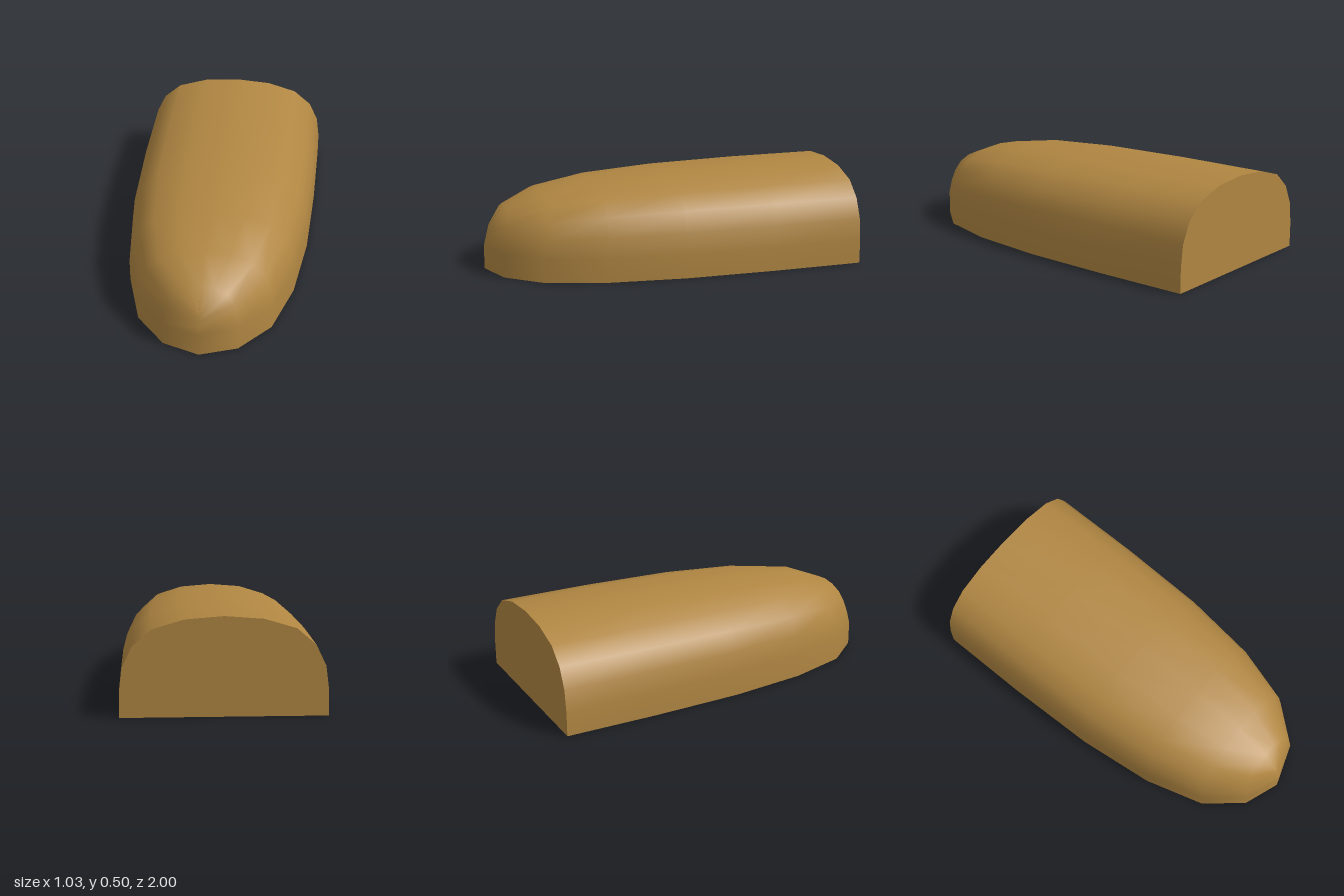
import * as THREE from 'three';
import { mergeVertices } from 'three/addons/utils/BufferGeometryUtils.js';

// Half of the rear cross-section above the floor: [x, y], from side to crown
const half = [[0.515, 0], [0.515, 0.13], [0.5, 0.25], [0.45, 0.355], [0.355, 0.437], [0.195, 0.485], [0, 0.5]];
const section = [...half, ...half.slice(0, -1).reverse().map(([x, y]) => [-x, y])];

// Stations along the length: [z at the side, z at the crown, half width, crown height]
const stations = [
  [-1, -1, 0.515, 0.5], [-0.5, -0.5, 0.515, 0.5], [0, 0, 0.5, 0.492], [0.42, 0.4, 0.45, 0.47],
  [0.74, 0.69, 0.355, 0.425], [0.93, 0.88, 0.195, 0.35], [1, 0.97, 0, 0.25],
];

const WALL = 0.13; // height of the upright wall

function shellGeometry() {
  const positions = [], index = [], n = section.length;
  for (const [zSide, zCrown, width, crown] of stations) {
    for (const [x, y] of section) {
      const rise = Math.max(0, (y - WALL) / (0.5 - WALL));
      positions.push(
        x * width / 0.515,
        y <= WALL ? y : WALL + rise * (crown - WALL),
        zSide + (zCrown - zSide) * rise,
      );
    }
  }
  for (let i = 0; i < stations.length - 1; i++) {
    for (let j = 0; j < n - 1; j++) {
      const a = i * n + j, c = a + n;
      index.push(a, a + 1, c, a + 1, c + 1, c);
    }
  }
  const geometry = new THREE.BufferGeometry();
  geometry.setAttribute('position', new THREE.Float32BufferAttribute(positions, 3));
  geometry.setIndex(index);
  const welded = mergeVertices(geometry, 1e-4); // joins both halves at the nose
  welded.computeVertexNormals();
  return welded;
}

function flatFace(points) {
  return new THREE.ShapeGeometry(new THREE.Shape(points.map(([x, y]) => new THREE.Vector2(x, y))));
}

export function createModel() {
  const group = new THREE.Group();
  group.name = 'roundedNose';
  const material = new THREE.MeshStandardMaterial({ color: 0xb08642 });
  const add = (name, geometry) => {
    const mesh = new THREE.Mesh(geometry, material);
    mesh.name = name;
    group.add(mesh);
  };

  // Smooth domed skin with a short upright wall
  add('domedShell', shellGeometry());

  // Flat rear face
  add('backFace', flatFace(section).rotateY(Math.PI).translate(0, 0, -1));

  // Flat underside following the plan outline
  const side = stations.map(([z, , width]) => [width, z]);
  const outline = [...side, ...side.slice(0, -1).reverse().map(([x, z]) => [-x, z])];
  add('underside', flatFace(outline).rotateX(Math.PI / 2));

  return group;
}
